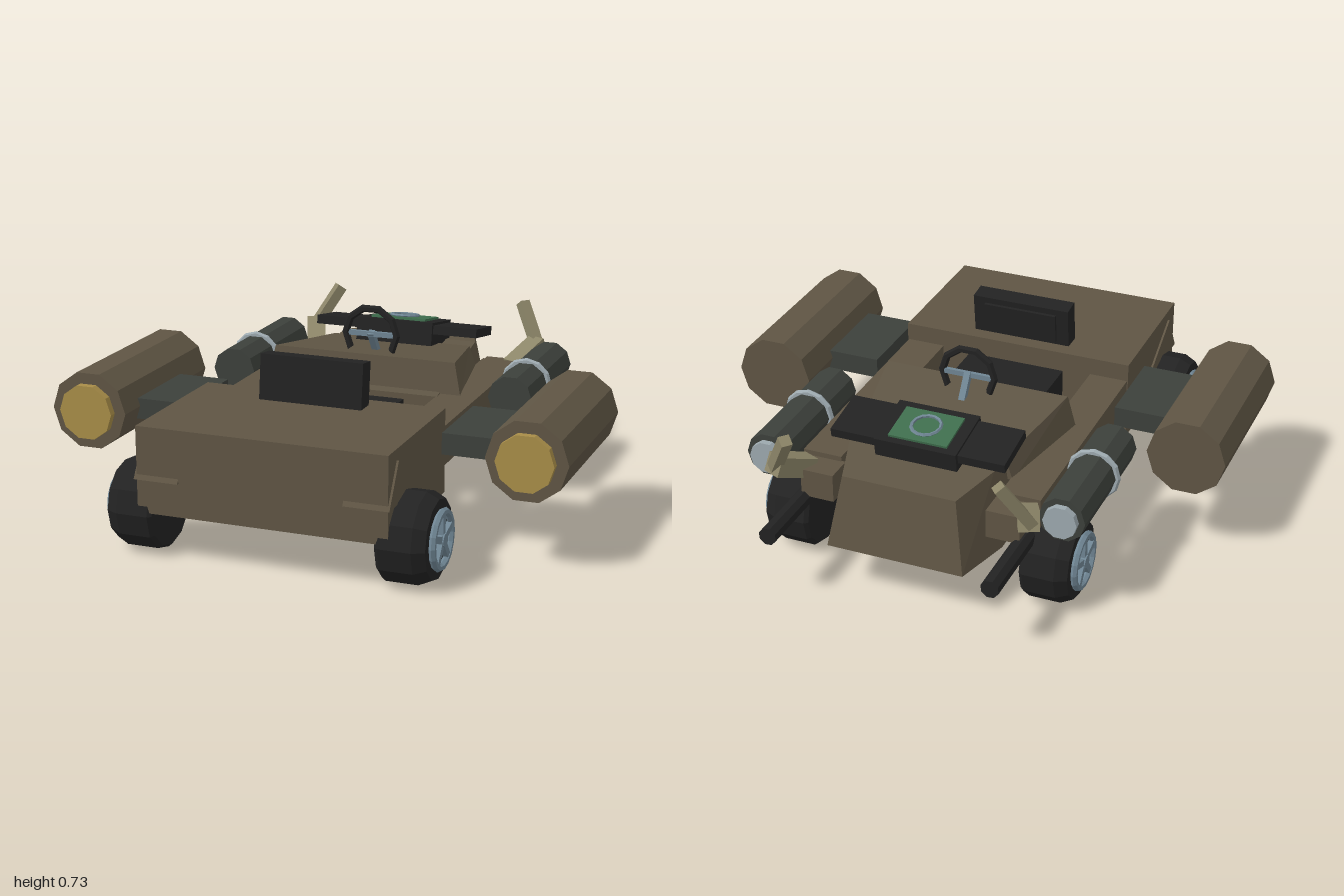
import * as THREE from 'three';

const mat = (name, color) => {
  const m = new THREE.MeshStandardMaterial({ color });
  m.name = name;
  return m;
};

export function createModel() {
  const root = new THREE.Group();
  const M = {
    body: mat('drab brown', 0x5f5544), black: mat('black', 0x222222),
    engine: mat('dark olive grey', 0x3c403b), gold: mat('brass', 0xa88d48),
    steel: mat('blue steel', 0x6f8593), light: mat('light steel', 0x9ca8ae),
    green: mat('screen green', 0x3f6e4d), khaki: mat('khaki', 0x8c8568),
  };

  // faceted normals
  const flat = (g) => {
    const f = g.index ? g.toNonIndexed() : g;
    f.computeVertexNormals();
    return f;
  };
  const add = (name, geo, m, pos = [0, 0, 0], parent = root) => {
    const mesh = new THREE.Mesh(flat(geo), m);
    mesh.name = name;
    mesh.position.set(...pos);
    parent.add(mesh);
    return mesh;
  };
  // box given by its min and max corners
  const block = (name, m, a, b) => add(name,
    new THREE.BoxGeometry(...a.map((v, i) => Math.abs(b[i] - v))), m, a.map((v, i) => (v + b[i]) / 2));
  // cylinder lying along z, with corners at left and right
  const drum = (name, m, r, x, y, z0, z1, n = 10) => add(name,
    new THREE.CylinderGeometry(r, r, z1 - z0, n, 1, false, Math.PI / 10).rotateX(Math.PI / 2), m, [x, y, (z0 + z1) / 2]);
  // rectangular bar between two points
  const bar = (name, m, a, b, w, h) => {
    const p = new THREE.Vector3(...a), q = new THREE.Vector3(...b);
    const mesh = add(name, new THREE.BoxGeometry(w, h, p.distanceTo(q)), m);
    mesh.position.copy(p).add(q).multiplyScalar(0.5);
    mesh.lookAt(q);
    return mesh;
  };
  // hull through trapezoid sections [xBottom, yBottom, zBottom, xTop, yTop, zTop], from +z to -z
  const loft = (name, m, sections) => {
    const rings = sections.map(([xb, yb, zb, xt, yt, zt]) =>
      [[-xb, yb, zb], [xb, yb, zb], [xt, yt, zt], [-xt, yt, zt]]);
    const v = [];
    const quad = (a, b, c, d) => v.push(...a, ...b, ...c, ...a, ...c, ...d);
    quad(...rings[0]);
    for (let k = 0; k + 1 < rings.length; k++) {
      for (let i = 0; i < 4; i++) {
        const j = (i + 1) % 4;
        quad(rings[k][i], rings[k + 1][i], rings[k + 1][j], rings[k][j]);
      }
    }
    quad(...[...rings[rings.length - 1]].reverse());
    const g = new THREE.BufferGeometry();
    g.setAttribute('position', new THREE.Float32BufferAttribute(v, 3));
    return add(name, g, m);
  };

  // Body
  block('rearBody', M.body, [-0.472, 0.18, 0.36], [0.472, 0.5, 0.952]);
  loft('noseHull', M.body, [
    [0.32, 0.2, 0.01, 0.32, 0.43, 0.01],
    [0.325, 0.2, -0.59, 0.285, 0.5, -0.57],
    [0.265, 0.2, -0.82, 0.22, 0.475, -0.77],
  ]);
  loft('cowl', M.body, [
    [0.4, 0.42, -0.035, 0.37, 0.553, -0.05],
    [0.32, 0.42, -0.48, 0.29, 0.505, -0.48],
  ]);

  // Seat
  block('seatCushion', M.black, [-0.2, 0.3, 0.05], [0.2, 0.42, 0.4]);
  const back = new THREE.Group();
  back.name = 'seatBack';
  back.position.set(0, 0.58, 0.45);
  back.rotation.x = -0.12;
  root.add(back);
  add('backrest', new THREE.BoxGeometry(0.4, 0.17, 0.075), M.black, [0, 0, 0], back);
  add('backPad', new THREE.BoxGeometry(0.3, 0.12, 0.02), M.black, [0, 0, -0.04], back);

  // Dashboard with screen
  const dash = new THREE.Group();
  dash.name = 'dashboard';
  dash.position.set(0, 0.54, -0.505);
  dash.rotation.x = -0.17;
  root.add(dash);
  add('dashCore', new THREE.BoxGeometry(0.32, 0.095, 0.235), M.black, [0, 0, 0], dash);
  add('dashWing', new THREE.BoxGeometry(0.68, 0.035, 0.205), M.black, [0, 0.02, 0], dash);
  add('screen', new THREE.BoxGeometry(0.23, 0.009, 0.17), M.green, [0, 0.052, -0.005], dash);
  add('screenDial', new THREE.TorusGeometry(0.055, 0.007, 5, 14).rotateX(Math.PI / 2), M.steel, [0, 0.06, -0.005], dash);

  // Steering wheel
  add('steeringRim', new THREE.TorusGeometry(0.105, 0.015, 6, 7, Math.PI * 1.4)
    .rotateZ(-Math.PI * 0.2), M.black, [0, 0.613, -0.13]);
  block('steeringSpoke', M.steel, [-0.1, 0.603, -0.14], [0.1, 0.623, -0.125]);
  bar('steeringColumn', M.steel, [0, 0.62, -0.13], [0, 0.5, -0.21], 0.025, 0.025);

  // Wheel, outer side towards +x
  const makeWheel = (name, x, z) => {
    const w = new THREE.Group();
    w.name = name;
    w.position.set(x, 0.167, z);
    if (x < 0) w.rotation.y = Math.PI;
    const profile = [[0, -0.09], [0.155, -0.09], [0.167, -0.075], [0.167, 0.045], [0.145, 0.09], [0, 0.09]]
      .map(([r, y]) => new THREE.Vector2(r, y));
    add('tyre', new THREE.LatheGeometry(profile, 12).rotateZ(-Math.PI / 2), M.black, [0, 0, 0], w);
    add('rim', new THREE.TorusGeometry(0.1, 0.014, 6, 16).rotateY(Math.PI / 2), M.steel, [0.1, 0, 0], w);
    add('hub', new THREE.CylinderGeometry(0.025, 0.025, 0.03, 10).rotateZ(Math.PI / 2), M.steel, [0.1, 0, 0], w);
    for (let i = 0; i < 5; i++) {
      add('spoke', new THREE.BoxGeometry(0.02, 0.1, 0.024).translate(0, 0.05, 0), M.steel, [0.1, 0, 0], w)
        .rotation.x = i * Math.PI * 0.4;
    }
    root.add(w);
  };

  for (const s of [1, -1]) {
    const side = s > 0 ? 'left' : 'right';
    // Rails, fenders and front brackets
    block(side + 'Rail', M.body, [s * 0.315, 0.28, -0.585], [s * 0.468, 0.43, 0.37]);
    block(side + 'Bracket', M.body, [s * 0.3, 0.3, -0.69], [s * 0.43, 0.41, -0.58]);
    const tri = new THREE.Shape([[-0.962, 0.305], [-0.6, 0.305], [-0.87, 0.46]].map((p) => new THREE.Vector2(...p)));
    add(side + 'Fender', new THREE.ExtrudeGeometry(tri, { depth: 0.17, bevelEnabled: false })
      .rotateY(Math.PI / 2), M.body, [s > 0 ? 0.31 : -0.48, 0, 0]);

    // Side pods
    drum(side + 'Pod', M.body, 0.151, s * 0.849, 0.415, -0.09, 0.6);
    drum(side + 'PodLens', M.gold, 0.107, s * 0.849, 0.415, 0.59, 0.63);
    block(side + 'PodArm', M.engine, [s * 0.5, 0.365, 0.12], [s * 0.72, 0.445, 0.48]);

    // Engines
    drum(side + 'Engine', M.engine, 0.087, s * 0.575, 0.42, -0.66, -0.1);
    drum(side + 'EngineCap', M.light, 0.064, s * 0.575, 0.42, -0.685, -0.65);
    add(side + 'EngineRing', new THREE.TorusGeometry(0.09, 0.013, 6, 12), M.light, [s * 0.575, 0.42, -0.325]);

    // Front tubes and bent horns
    drum(side + 'FrontTube', M.black, 0.035, s * 0.428, 0.283, -0.965, -0.35, 8);
    bar(side + 'HornBase', M.khaki, [s * 0.43, 0.39, -0.62], [s * 0.495, 0.46, -0.77], 0.075, 0.075);
    bar(side + 'HornTip', M.khaki, [s * 0.5, 0.44, -0.755], [s * 0.405, 0.615, -0.835], 0.042, 0.042);

    makeWheel(side + 'RearWheel', s * 0.51, 0.795);
    makeWheel(side + 'FrontWheel', s * 0.51, -0.515);
  }
  return root;
}
